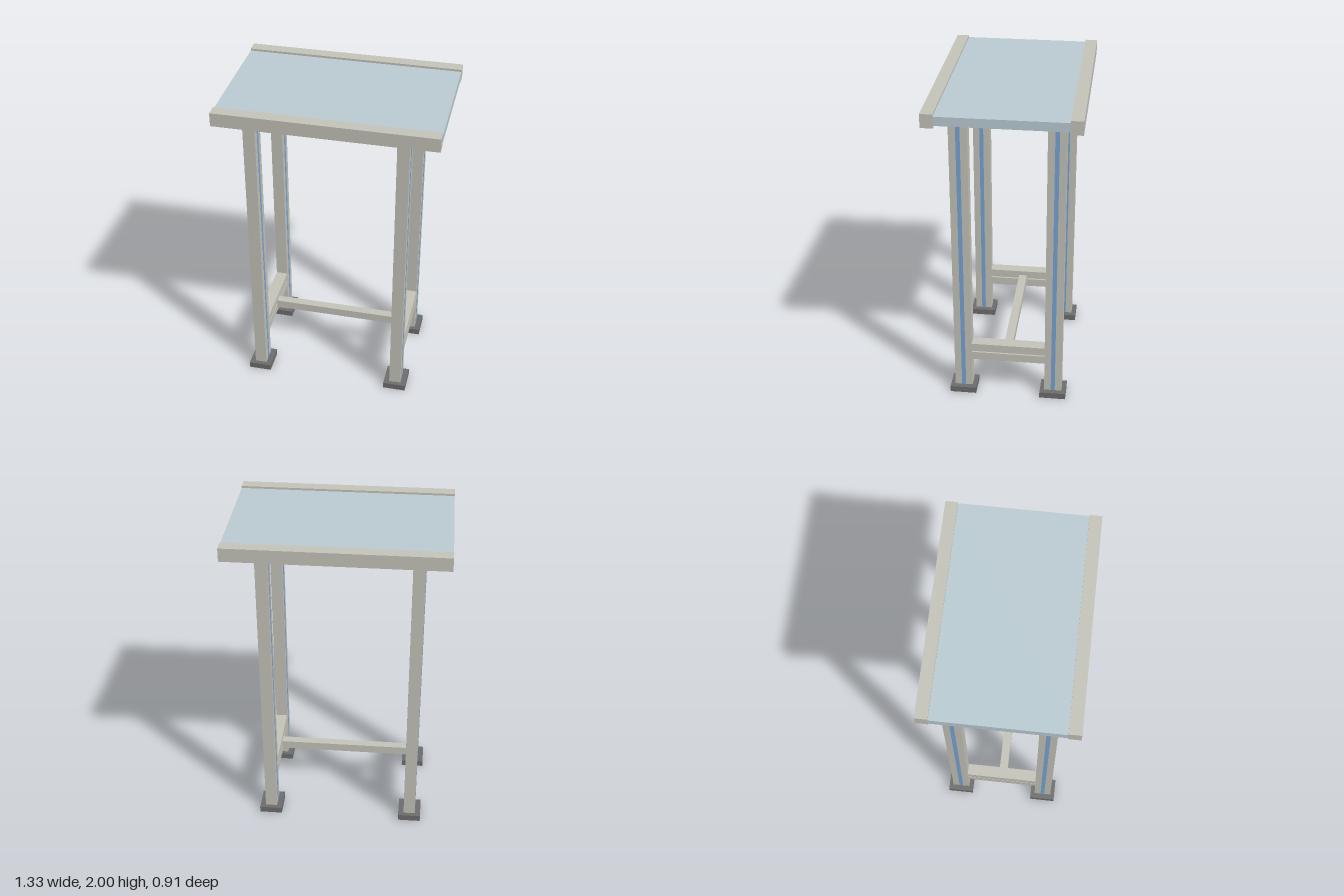
import * as THREE from 'three';

const paint = (color) => new THREE.MeshStandardMaterial({ color });

export function createModel() {
  const model = new THREE.Group();
  const frame = paint(0xc5c5bb);
  const panel = paint(0xbccdd4);
  const blue = paint(0x7aa6d8);
  const rubber = paint(0x6e6e6e);

  // Box given by its extents along each axis
  const box = (name, material, [x0, x1], [y0, y1], [z0, z1], parent = model) => {
    const mesh = new THREE.Mesh(new THREE.BoxGeometry(x1 - x0, y1 - y0, z1 - z0), material);
    mesh.position.set((x0 + x1) / 2, (y0 + y1) / 2, (z0 + z1) / 2);
    mesh.name = name;
    parent.add(mesh);
  };
  const around = (centre, half) => [centre - half, centre + half];

  // Table top with a raised rail along the front and back
  const top = new THREE.Group();
  top.name = 'tableTop';
  model.add(top);
  const span = [-0.663, 0.663];
  box('topPanel', panel, span, [1.932, 1.987], [-0.381, 0.381], top);
  box('frontRail', frame, span, [1.916, 2], [0.381, 0.455], top);
  box('backRail', frame, span, [1.916, 2], [-0.455, -0.381], top);

  // Legs with blue strips on their outer and inner sides, and square feet
  const legX = [-0.476, 0.439];
  const legZ = [-0.298, 0.277];
  for (const x of legX) {
    for (const z of legZ) {
      const leg = new THREE.Group();
      leg.name = (z > 0 ? 'front' : 'back') + (x > 0 ? 'Left' : 'Right') + 'Leg';
      model.add(leg);
      box('post', frame, around(x, 0.037), [0.037, 1.932], around(z, 0.0555), leg);
      for (const side of [-1, 1]) {
        box('strip', blue, around(x + side * 0.036, 0.002), [0.037, 1.932], around(z, 0.013), leg);
      }
      box('foot', rubber, around(x, 0.072), [0, 0.04], around(z, 0.083), leg);
    }

    // Pair of side stretchers with a narrow gap between them
    for (const y of [0.269, 0.331]) {
      box('sideStretcher', frame, around(x, 0.037), around(y, 0.027), [-0.2425, 0.2215]);
    }
  }

  // Long stretcher joining the two sides
  box('crossStretcher', frame, [legX[0] + 0.03, legX[1] - 0.03], around(0.3, 0.027), around(-0.004, 0.027));

  return model;
}
